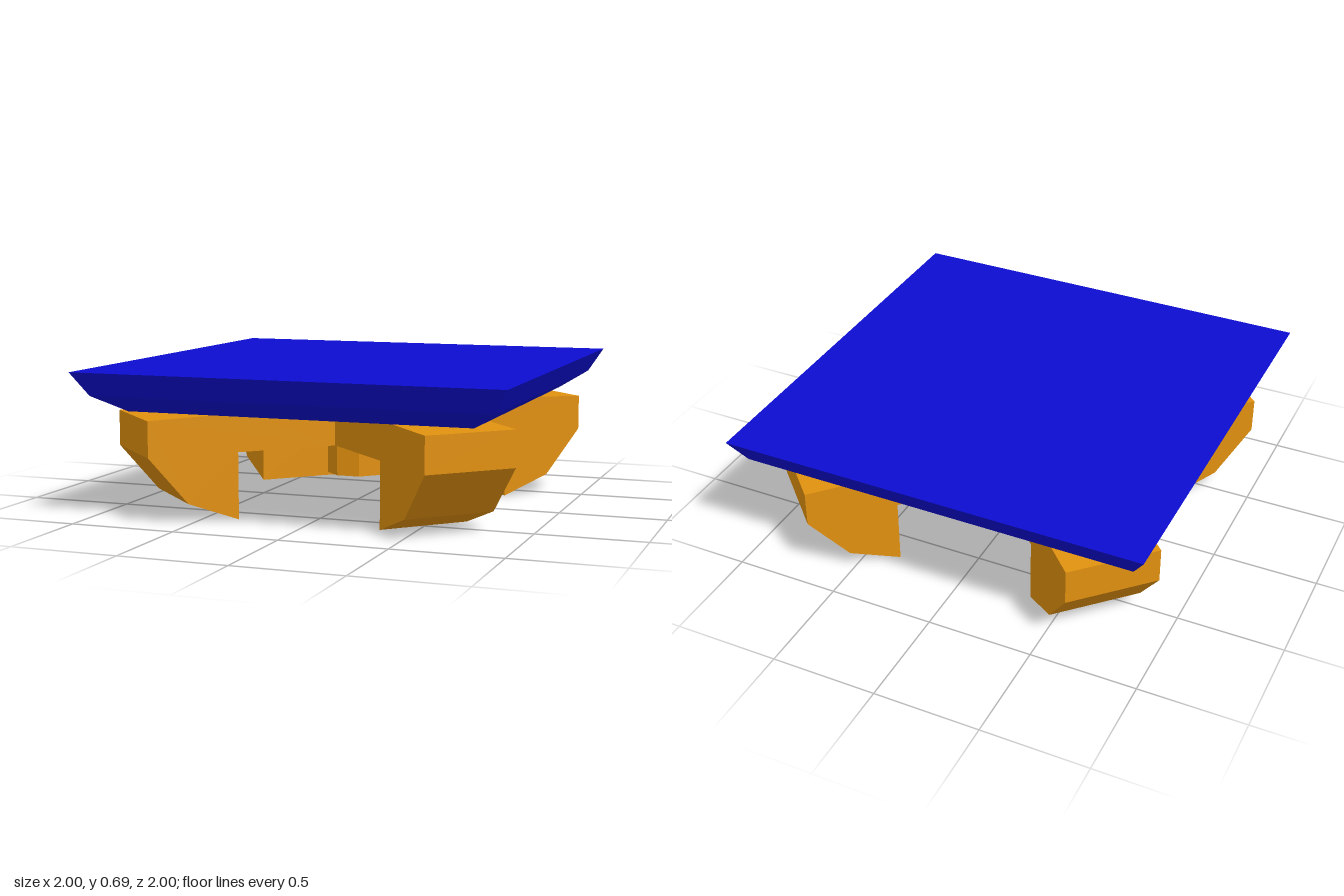
import * as THREE from 'three';

const blue = new THREE.MeshStandardMaterial({ color: 0x0c0cd0, flatShading: true });
const orange = new THREE.MeshStandardMaterial({ color: 0xe0900f, flatShading: true });

const HALF_WIDTH = 0.219; // half the width of each leg arm
const UNDER = 0.31;       // underside of the cross
const TOP = 0.496;        // where the cross meets the slab

function addMesh(parent, name, geometry, material) {
  const mesh = new THREE.Mesh(geometry, material);
  mesh.name = name;
  parent.add(mesh);
  return mesh;
}

export function createModel() {
  const model = new THREE.Group();
  model.name = 'pedestalPlatform';

  // Square slab with a two-step bevelled underside (half width, height)
  const slabProfile = [[0, TOP], [0.81, TOP], [0.935, 0.575], [1, 0.685], [0, 0.685]]
    .map(([half, y]) => new THREE.Vector2(half * Math.SQRT2, y));
  addMesh(model, 'slab', new THREE.LatheGeometry(slabProfile, 4, Math.PI / 4), blue);

  // Diagonal cross base
  const base = new THREE.Group();
  base.name = 'crossBase';
  base.rotation.y = Math.PI / 4;
  model.add(base);

  const hub = addMesh(base, 'hub',
    new THREE.BoxGeometry(2 * HALF_WIDTH, TOP - UNDER, 2 * HALF_WIDTH), orange);
  hub.position.y = (TOP + UNDER) / 2;

  // Leg arm: side profile (distance from centre, height) extruded across its width
  const armShape = new THREE.Shape([
    [HALF_WIDTH, UNDER], [0.7, UNDER], [0.7, 0], [0.94, 0.09],
    [1.124, UNDER], [1.124, 0.476], [0.65, 0.49], [HALF_WIDTH, TOP],
  ].map(([r, y]) => new THREE.Vector2(r, y)));
  const armGeometry = new THREE.ExtrudeGeometry(armShape, { depth: 2 * HALF_WIDTH, bevelEnabled: false });
  armGeometry.translate(0, 0, -HALF_WIDTH);
  for (let i = 0; i < 4; i++) {
    addMesh(base, `legArm${i + 1}`, armGeometry, orange).rotation.y = i * Math.PI / 2;
  }

  // Octagonal peg under the hub
  const peg = addMesh(model, 'centrePeg', new THREE.CylinderGeometry(0.146, 0.146, 0.2, 8), orange);
  peg.rotation.y = Math.PI / 8;
  peg.position.y = 0.237;

  return model;
}
